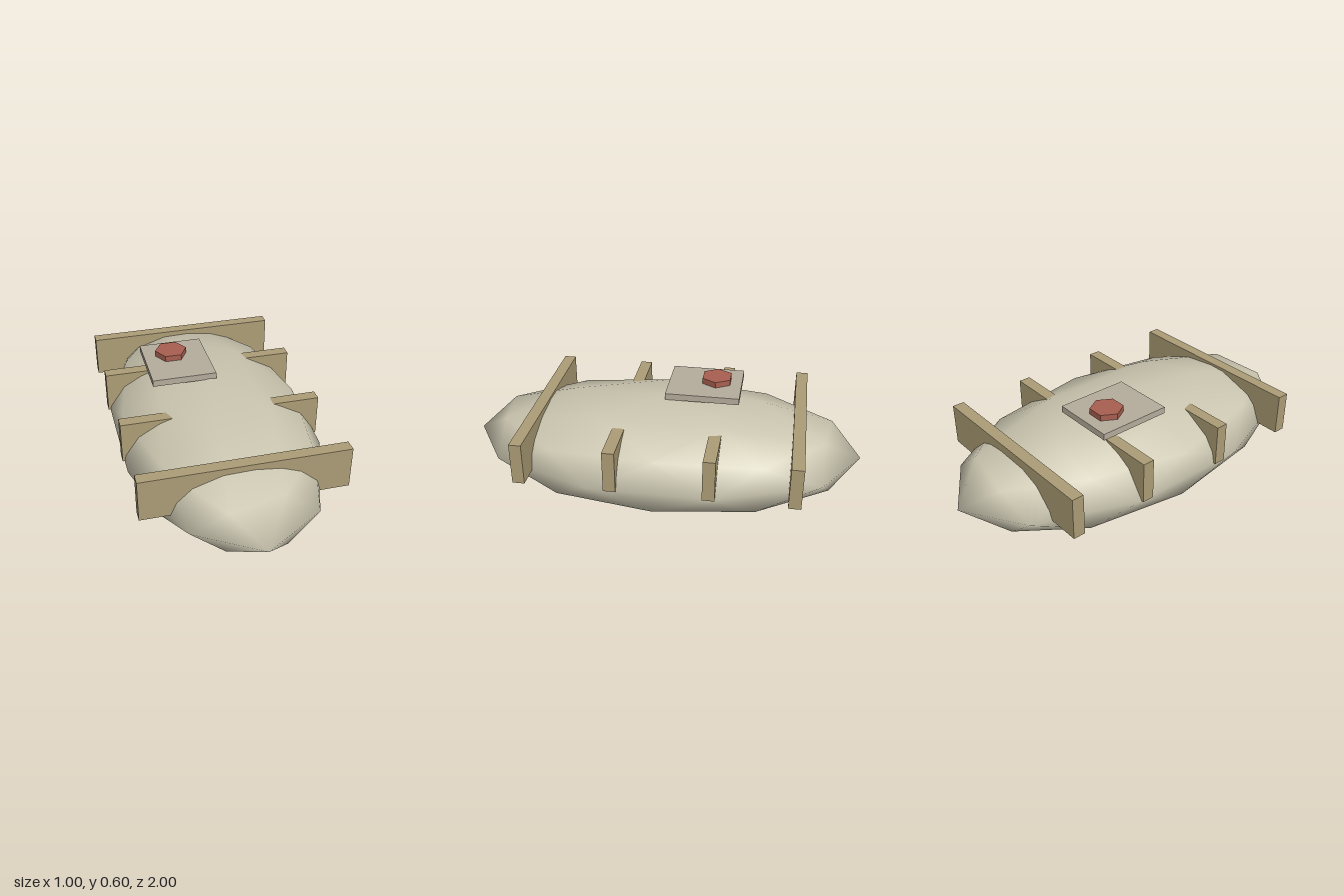
import * as THREE from 'three';

const material = (color) => new THREE.MeshStandardMaterial({ color });

function addPart(group, name, geometry, mat, x, y, z) {
  const mesh = new THREE.Mesh(geometry, mat);
  mesh.name = name;
  mesh.position.set(x, y, z);
  group.add(mesh);
  return mesh;
}

// Icosahedron with poles on y, subdivided once into a smooth low-poly ball
function createBall() {
  const ringY = 1 / Math.sqrt(5), ringR = 2 / Math.sqrt(5);
  const points = [0, 1, 0, 0, -1, 0];
  const faces = [];
  for (let k = 0; k < 5; k++) {
    const low = (k * 2 * Math.PI) / 5, high = low + Math.PI / 5;
    points.push(ringR * Math.cos(high), ringY, ringR * Math.sin(high));
    points.push(ringR * Math.cos(low), -ringY, ringR * Math.sin(low));
    const n = (k + 1) % 5;
    const u = 2 + 2 * k, l = u + 1, uNext = 2 + 2 * n, lNext = uNext + 1;
    faces.push(0, uNext, u, u, uNext, lNext, l, u, lNext, 1, l, lNext);
  }
  return new THREE.PolyhedronGeometry(points, faces, 1, 1);
}

export function createModel() {
  const model = new THREE.Group();
  model.name = 'ribbedHull';

  // Long flattened hull
  const hull = createBall();
  hull.scale(0.515, 0.27, 1);
  addPart(model, 'hull', hull, material(0xcbc6b0), 0, 0.272, 0);

  // Four cross ribs running through the hull
  const ribMaterial = material(0xac9d76);
  const rib = new THREE.BoxGeometry(1, 0.211, 0.06);
  [0.637, 0.19, -0.282, -0.682].forEach((z, i) =>
    addPart(model, `rib${i + 1}`, rib, ribMaterial, 0, 0.378, z));

  // Hatch plate and its hexagonal cap, set off to one side
  addPart(model, 'hatchPlate', new THREE.BoxGeometry(0.326, 0.033, 0.373),
    material(0xb5ac9c), -0.132, 0.5535, -0.188);
  const cap = new THREE.CylinderGeometry(0.082, 0.082, 0.03, 6).toNonIndexed();
  cap.computeVertexNormals();
  cap.rotateY(Math.PI / 6);
  addPart(model, 'hexCap', cap, material(0xa85f50), -0.153, 0.585, -0.245);

  return model;
}
